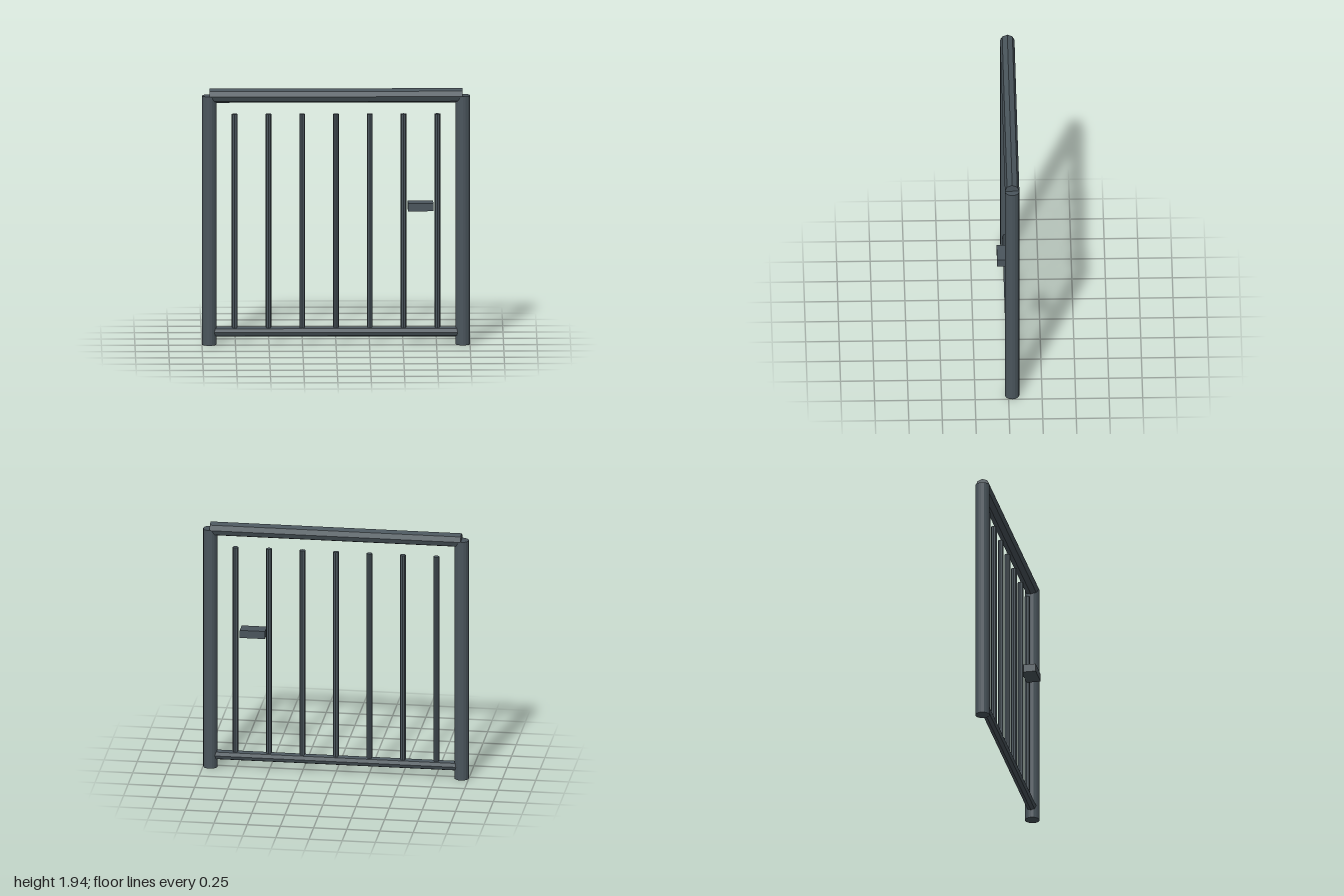
import * as THREE from 'three';

export function createModel() {
  const group = new THREE.Group();
  const metal = new THREE.MeshStandardMaterial({ color: 0x4a555c, flatShading: true });
  const planeZ = -0.027; // depth of the gate's centre plane

  function add(name, geometry, x, y, z = planeZ) {
    const mesh = new THREE.Mesh(geometry, metal);
    mesh.name = name;
    mesh.position.set(x, y, z);
    group.add(mesh);
    return mesh;
  }

  // Round side posts
  const postHeight = 1.89;
  const postGeometry = new THREE.CylinderGeometry(0.054, 0.054, postHeight, 16);
  add('leftPost', postGeometry, 0.946, postHeight / 2);
  add('rightPost', postGeometry, -0.946, postHeight / 2);

  // Eight-sided rails lying along x
  function addRail(name, radius, y) {
    const geometry = new THREE.CylinderGeometry(radius, radius, 1.89, 8);
    geometry.rotateZ(Math.PI / 2);
    add(name, geometry, 0, y);
  }
  addRail('topRail', 0.054, 1.89);
  addRail('bottomRail', 0.038, 0.097);

  // Seven upright bars standing on the bottom rail
  const barBottom = 0.11;
  const barTop = 1.75;
  const barGeometry = new THREE.CylinderGeometry(0.022, 0.022, barTop - barBottom, 8);
  for (let i = -3; i <= 3; i++) {
    add(`bar${i + 4}`, barGeometry, i * 0.252, (barTop + barBottom) / 2);
  }

  // Latch block on the front
  add('latch', new THREE.BoxGeometry(0.19, 0.06, 0.108), 0.63, 1.06, 0.027);

  return group;
}
